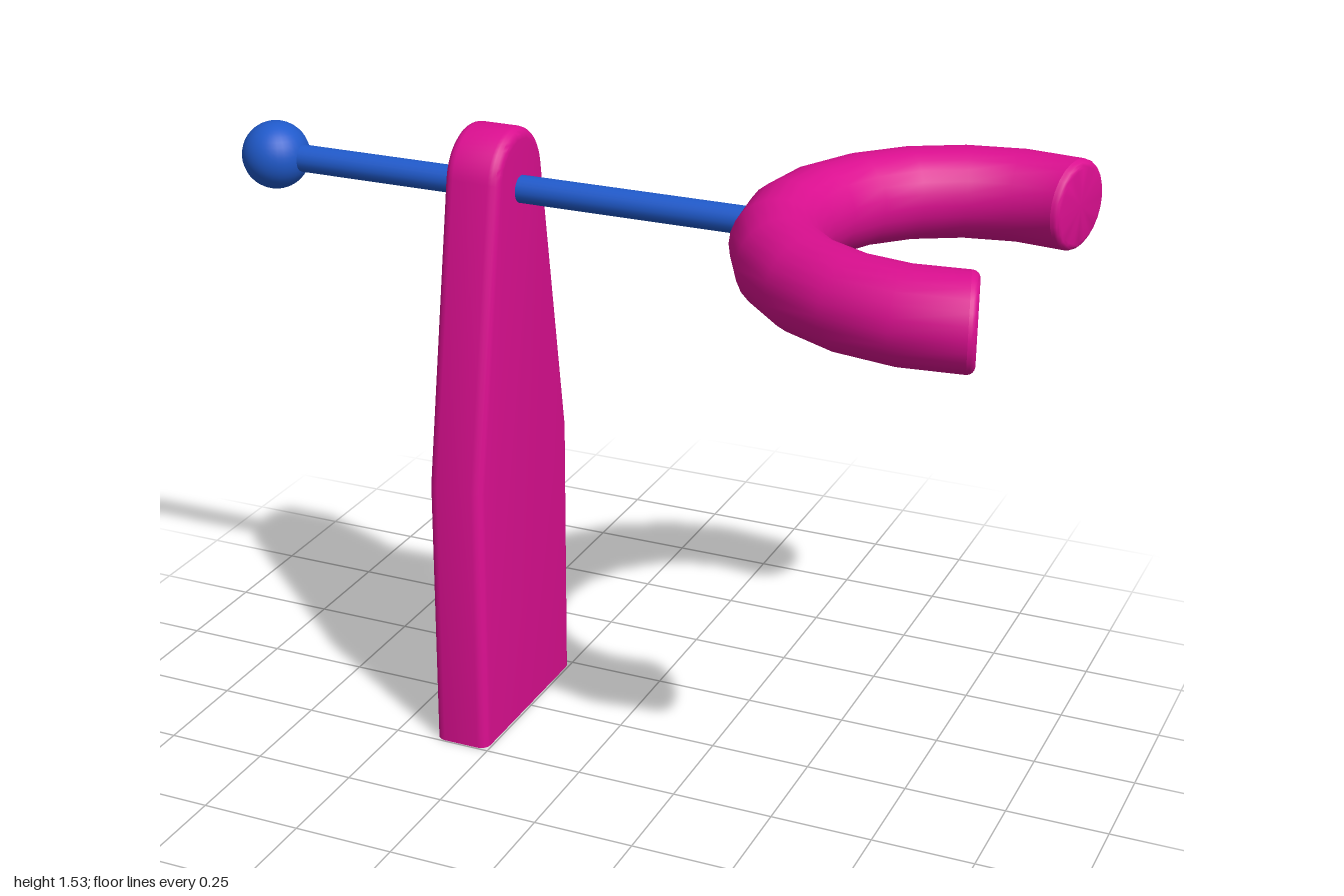
import * as THREE from 'three';
import { toCreasedNormals } from 'three/addons/utils/BufferGeometryUtils.js';

export function createModel() {
  const group = new THREE.Group();
  const pink = new THREE.MeshStandardMaterial({ color: 0xdb0f90 });
  pink.name = 'pink';
  const blue = new THREE.MeshStandardMaterial({ color: 0x205acb });
  blue.name = 'blue';
  const axisY = 1.38;

  function add(name, geometry, material, parent = group) {
    const mesh = new THREE.Mesh(geometry, material);
    mesh.name = name;
    parent.add(mesh);
    return mesh;
  }

  // Post: straight foot, tapered neck and round top, with softened edges
  const bevel = 0.025, thickness = 0.14, topR = 0.126, topY = 1.4, lean = 0.17;
  const outline = new THREE.Shape();
  outline.moveTo(-0.246, -bevel);
  outline.lineTo(0.246, -bevel);
  outline.lineTo(0.246, 0.69);
  outline.absarc(0, topY, topR, lean, Math.PI - lean, false);
  outline.lineTo(-0.246, 0.69);
  outline.closePath();
  const post = new THREE.ExtrudeGeometry(outline, {
    depth: thickness - 2 * bevel, curveSegments: 12,
    bevelEnabled: true, bevelThickness: bevel, bevelSize: bevel, bevelOffset: -bevel, bevelSegments: 4,
  });
  post.translate(0, 0, bevel - thickness / 2);
  // Cut the underside flat
  const pos = post.attributes.position;
  for (let i = 0; i < pos.count; i++) pos.setY(i, Math.max(0, pos.getY(i)));
  post.rotateY(Math.PI / 2);
  add('post', toCreasedNormals(post, 0.5), pink).position.x = -0.325;

  // Rod through the post, with a ball at its right end
  const rod = add('rod', new THREE.CylinderGeometry(0.033, 0.033, 1.27, 20), blue);
  rod.rotation.z = Math.PI / 2;
  rod.position.set(-0.265, axisY, 0);
  add('ball', new THREE.SphereGeometry(0.083, 32, 20), blue).position.set(-0.917, axisY, 0);

  // Open ring lying flat, its gap facing +x
  const R = 0.428, r = 0.108, round = 0.018;
  const start = THREE.MathUtils.degToRad(72) + round / R;
  const arc = 2 * (Math.PI - start);
  const ring = new THREE.Group();
  ring.name = 'openRing';
  ring.position.set(0.843, axisY, 0);
  ring.rotation.x = Math.PI / 2;
  group.add(ring);
  const curve = new THREE.TorusGeometry(R, r, 24, 12, arc);
  curve.rotateZ(start);
  add('ringBody', curve, pink, ring);

  // Flat end caps with rounded rims
  const profile = [];
  for (let i = 0; i <= 4; i++) {
    const a = (i / 4) * Math.PI / 2;
    profile.push(new THREE.Vector2(r - round + round * Math.cos(a), round * Math.sin(a)));
  }
  profile.push(new THREE.Vector2(0, round));
  const cap = toCreasedNormals(new THREE.LatheGeometry(profile, 24), 0.6);
  for (const side of [1, -1]) {
    const end = add(side > 0 ? 'leftRingEnd' : 'rightRingEnd', cap, pink, ring);
    end.position.set(R * Math.cos(start), side * R * Math.sin(start), 0);
    end.rotation.z = side > 0 ? start + Math.PI : -start;
  }
  return group;
}
